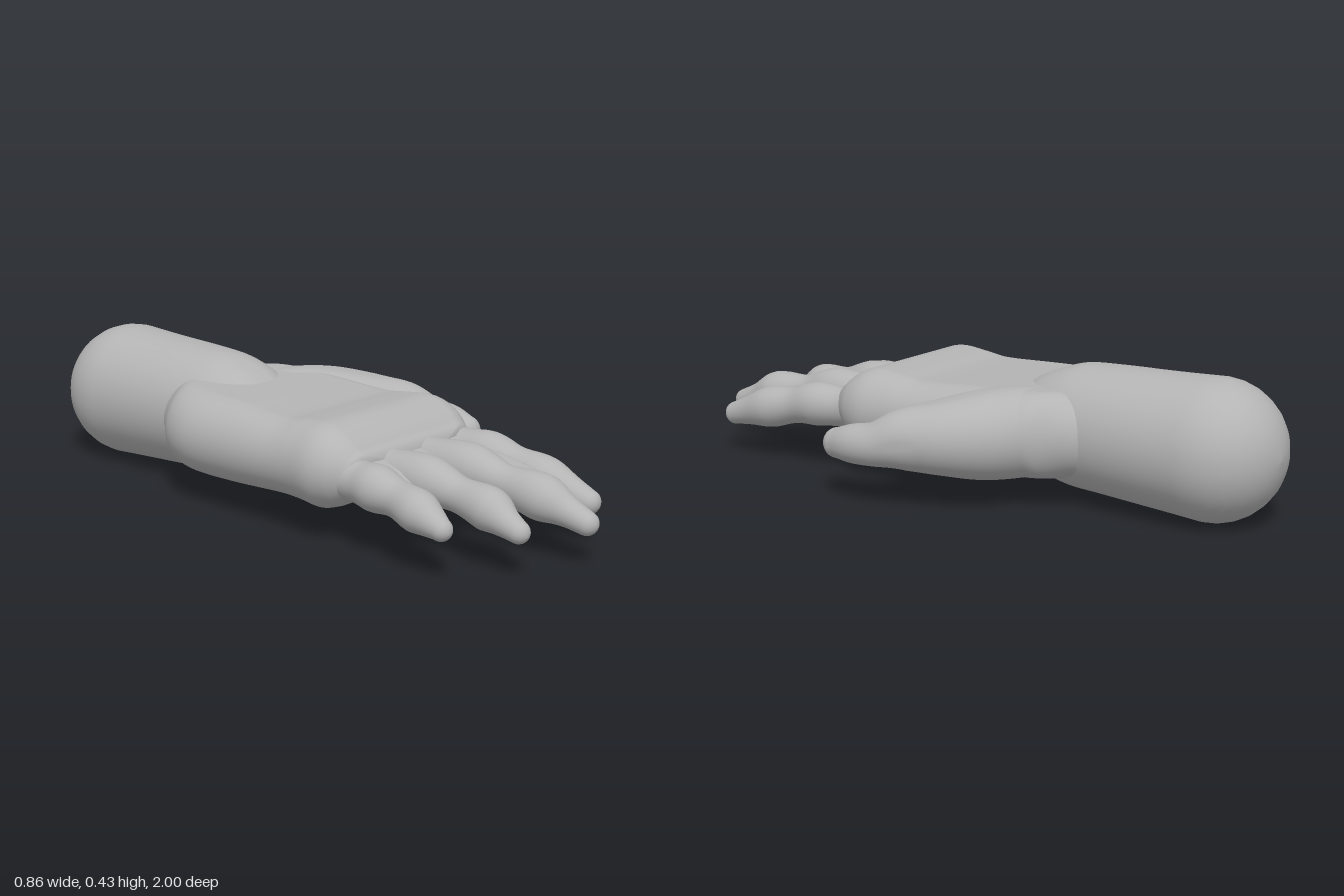
import * as THREE from 'three';

const UP = new THREE.Vector3(0, 1, 0);
const skin = new THREE.MeshStandardMaterial({ color: 0xb4b4b4 });
skin.name = 'skin grey';

// Smooth loft through sections [x, y, z, halfWidth, halfHeight]; rounded ends of the given lengths.
function loft(name, sections, startCap, endCap, sides = 40) {
  const path = new THREE.CatmullRomCurve3(sections.map(s => new THREE.Vector3(s[0], s[1], s[2])));
  const size = new THREE.CatmullRomCurve3(
    sections.map(s => new THREE.Vector3(s[3], s[4], 0)), false, 'catmullrom', 0.5);
  const steps = (sections.length - 1) * 6, capSteps = 8;
  const positions = [], index = [];

  const addRing = (t, shift, scale) => {
    const dir = path.getTangent(t);
    const centre = path.getPoint(t).addScaledVector(dir, shift);
    const side = new THREE.Vector3().crossVectors(UP, dir).normalize();
    const up = new THREE.Vector3().crossVectors(dir, side);
    const { x: w, y: h } = size.getPoint(t);
    const r = Math.min(w, h);
    for (let j = 0; j < sides; j++) {
      const a = (j + 0.5) / sides * Math.PI * 2, c = Math.cos(a), s = Math.sin(a);
      const p = centre.clone()
        .addScaledVector(side, scale * (Math.sign(c) * (w - r) + r * c))
        .addScaledVector(up, scale * (Math.sign(s) * (h - r) + r * s));
      positions.push(p.x, p.y, p.z);
    }
  };

  for (let i = 0; i < capSteps; i++) {
    const a = i / capSteps * Math.PI / 2;
    addRing(0, -startCap * Math.cos(a), Math.sin(a));
  }
  for (let i = 0; i <= steps; i++) addRing(i / steps, 0, 1);
  for (let i = 1; i <= capSteps; i++) {
    const a = i / capSteps * Math.PI / 2;
    addRing(1, endCap * Math.sin(a), i === capSteps ? 0 : Math.cos(a));
  }

  const rings = positions.length / 3 / sides;
  for (let i = 0; i < rings - 1; i++) {
    for (let j = 0; j < sides; j++) {
      const k = (j + 1) % sides;
      const a = i * sides + j, b = i * sides + k, d = a + sides, e = b + sides;
      index.push(a, b, d, b, e, d);
    }
  }
  const geometry = new THREE.BufferGeometry();
  geometry.setAttribute('position', new THREE.Float32BufferAttribute(positions, 3));
  geometry.setIndex(index);
  geometry.computeVertexNormals();
  const mesh = new THREE.Mesh(geometry, skin);
  mesh.name = name;
  return mesh;
}

export function createModel() {
  const hand = new THREE.Group();
  hand.name = 'hand';

  // Forearm with a domed end, sinking into the wrist
  hand.add(loft('forearm', [
    [-0.106, 0.215, -0.79, 0.211, 0.213],
    [-0.106, 0.217, -0.62, 0.205, 0.203],
    [-0.106, 0.22, -0.45, 0.198, 0.195],
    [-0.106, 0.22, -0.33, 0.19, 0.187],
    [-0.106, 0.22, -0.25, 0.175, 0.16],
    [-0.106, 0.217, -0.17, 0.14, 0.122],
  ], 0.21, 0.05, 56));

  // Flat palm with a raised ridge before the fingers
  hand.add(loft('palm', [
    [-0.106, 0.217, -0.47, 0.18, 0.12],
    [-0.104, 0.217, -0.39, 0.225, 0.128],
    [-0.105, 0.217, -0.32, 0.285, 0.132],
    [-0.105, 0.216, -0.23, 0.31, 0.131],
    [-0.105, 0.215, -0.08, 0.312, 0.126],
    [-0.105, 0.217, 0.12, 0.312, 0.115],
    [-0.105, 0.221, 0.21, 0.318, 0.122],
    [-0.105, 0.221, 0.29, 0.326, 0.127],
    [-0.105, 0.216, 0.35, 0.311, 0.105],
    [-0.105, 0.21, 0.395, 0.28, 0.075],
  ], 0.03, 0.04, 56));

  // Thumb, from its broad base to the tip
  hand.add(loft('thumb', [
    [0.0, 0.215, -0.27, 0.13, 0.13],
    [0.08, 0.215, -0.21, 0.14, 0.137],
    [0.17, 0.213, -0.14, 0.142, 0.13],
    [0.26, 0.21, -0.05, 0.118, 0.108],
    [0.32, 0.205, 0.025, 0.085, 0.092],
    [0.355, 0.187, 0.1, 0.069, 0.067],
    [0.366, 0.18, 0.17, 0.059, 0.06],
    [0.364, 0.172, 0.235, 0.045, 0.047],
  ], 0.08, 0.045));

  // Fingers: sections of [x, y, z, radius] with swollen joints
  const fingers = {
    littleFinger: [
      [-0.325, 0.21, 0.34, 0.07], [-0.33, 0.203, 0.42, 0.062], [-0.338, 0.2, 0.49, 0.068],
      [-0.345, 0.19, 0.57, 0.054], [-0.36, 0.177, 0.655, 0.061],
      [-0.37, 0.163, 0.71, 0.046], [-0.378, 0.152, 0.75, 0.033]],
    ringFinger: [
      [-0.2, 0.21, 0.34, 0.07], [-0.2, 0.208, 0.43, 0.066], [-0.2, 0.208, 0.56, 0.071],
      [-0.2, 0.19, 0.67, 0.052], [-0.204, 0.173, 0.78, 0.063],
      [-0.214, 0.152, 0.845, 0.043], [-0.22, 0.138, 0.89, 0.033]],
    middleFinger: [
      [-0.04, 0.21, 0.34, 0.07], [-0.038, 0.208, 0.43, 0.066], [-0.033, 0.21, 0.58, 0.072],
      [-0.026, 0.19, 0.69, 0.054], [-0.018, 0.172, 0.82, 0.068],
      [-0.011, 0.147, 0.9, 0.045], [-0.009, 0.127, 0.965, 0.035]],
    indexFinger: [
      [0.115, 0.21, 0.34, 0.07], [0.117, 0.205, 0.42, 0.062], [0.125, 0.203, 0.52, 0.07],
      [0.132, 0.187, 0.61, 0.058], [0.139, 0.168, 0.71, 0.066],
      [0.145, 0.144, 0.8, 0.047], [0.147, 0.127, 0.86, 0.037]],
  };
  for (const [name, sections] of Object.entries(fingers)) {
    hand.add(loft(name, sections.map(([x, y, z, r]) => [x, y, z, r, r]), 0.04, 0.034, 28));
  }

  // Webs of skin between neighbouring fingers: [x, end z]
  [[-0.265, 0.54], [-0.12, 0.58], [0.046, 0.7]].forEach(([x, end], i) => {
    hand.add(loft('fingerWeb' + (i + 1), [
      [x, 0.21, 0.36, 0.075, 0.058],
      [x, 0.203, 0.45, 0.068, 0.046],
      [x, 0.195, (0.45 + end) / 2, 0.065, 0.044],
      [x, 0.182, end, 0.055, 0.036],
    ], 0.03, 0.04, 28));
  });

  return hand;
}
